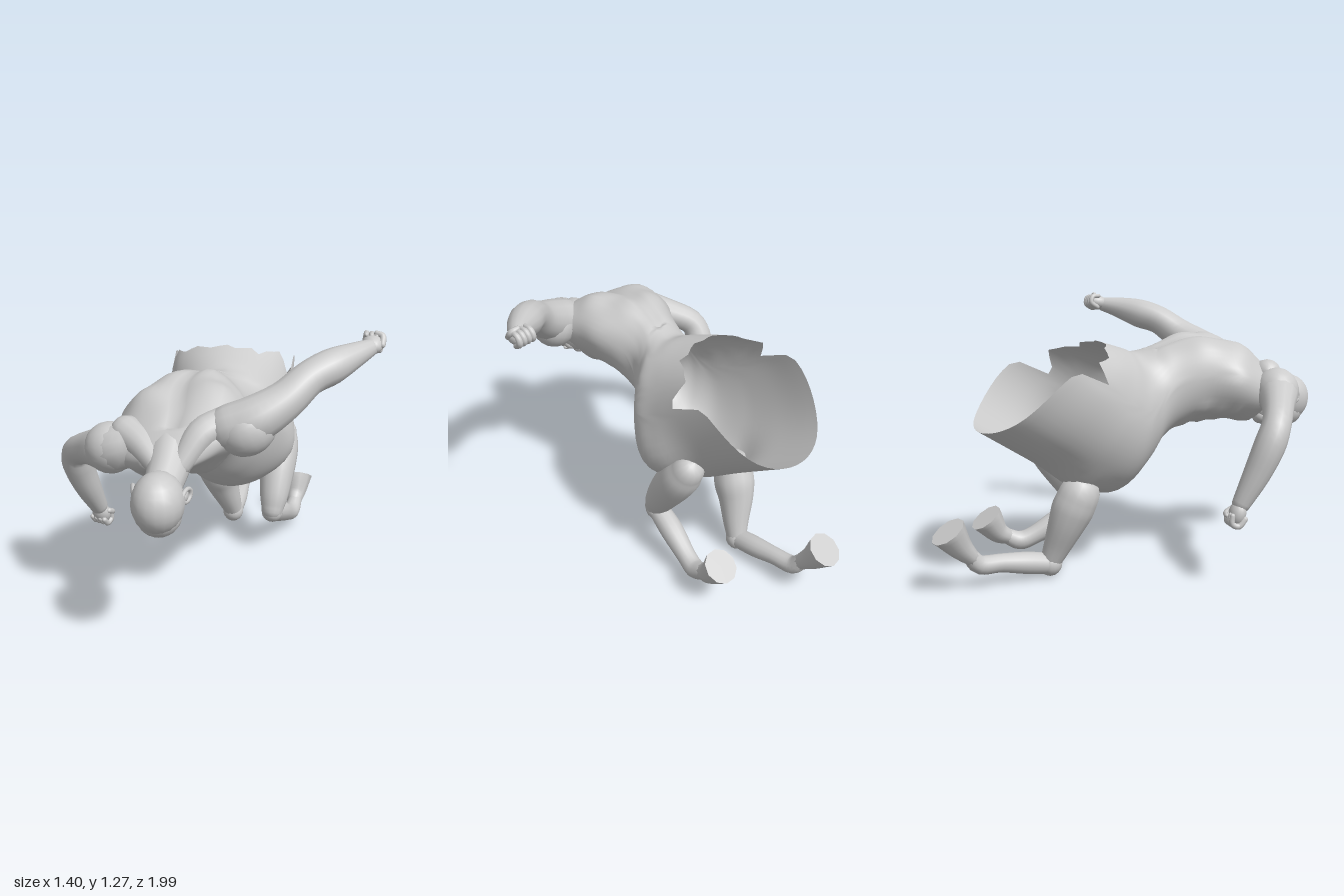
import * as THREE from 'three';

const grey = new THREE.MeshStandardMaterial({ color: 0xcccccc, side: THREE.DoubleSide });

function add(parent, name, geometry) {
  const mesh = new THREE.Mesh(geometry, grey);
  mesh.name = name;
  parent.add(mesh);
  return mesh;
}

// Skin a list of closed rings (arrays of Vector3)
function skin(rows) {
  const n = rows[0].length, pos = [], index = [];
  rows.forEach(row => row.forEach(p => pos.push(p.x, p.y, p.z)));
  for (let i = 0; i < rows.length - 1; i++) for (let j = 0; j < n; j++) {
    const a = i * n + j, b = i * n + (j + 1) % n;
    index.push(a, b, a + n, b, b + n, a + n);
  }
  const g = new THREE.BufferGeometry();
  g.setAttribute('position', new THREE.Float32BufferAttribute(pos, 3));
  g.setIndex(index);
  g.computeVertexNormals();
  return g;
}

const spline = pts => new THREE.CatmullRomCurve3(pts.map(p => new THREE.Vector3(...p)), false, 'catmullrom');

// Tapered limb through [x, y, z, radius] points: round ends, or a flat far end
function limb(parent, name, pts, sides = 14, flatEnd = false) {
  const path = spline(pts.map(p => p.slice(0, 3)));
  const size = spline(pts.map(p => [p[3], 0, 0]));
  const steps = (pts.length - 1) * 4, rows = [], dome = [0, 0.4, 0.8, 1.2];
  let normal = new THREE.Vector3(0.3, 1, 0.2);
  for (let i = 0; i <= steps; i++) {
    const t = i / steps, c = path.getPoint(t), r = size.getPoint(t).x;
    const tan = path.getTangent(t);
    normal = normal.clone().addScaledVector(tan, -normal.dot(tan)).normalize();
    const bin = tan.clone().cross(normal);
    const ring = (rad, shift = 0) => Array.from({ length: sides }, (_, j) => {
      const a = j / sides * Math.PI * 2;
      return c.clone().addScaledVector(tan, shift)
        .addScaledVector(normal, Math.cos(a) * rad).addScaledVector(bin, Math.sin(a) * rad);
    });
    if (i === 0) dome.forEach(a => rows.push(ring(r * Math.sin(a), -r * Math.cos(a))));
    rows.push(ring(r));
    if (i === steps && flatEnd) rows.push(ring(r), ring(0));
    else if (i === steps) [...dome].reverse().forEach(a => rows.push(ring(r * Math.sin(a), r * Math.cos(a))));
  }
  return add(parent, name, skin(rows));
}

// Ellipsoid muscle or head mass
function lobe(parent, name, pos, radii, rot = [0, 0, 0]) {
  const m = add(parent, name, new THREE.SphereGeometry(1, 18, 12));
  m.position.set(...pos);
  m.scale.set(...radii);
  m.rotation.set(...rot);
  return m;
}

// Torso and hollow hindquarters, rear to front:
// [zTop, yTop, zBottom, yBottom, centreX, halfWidth, roll]
const bodyKeys = [
  [-0.20, 1.07, -0.77, 0.70, -0.03, 0.305, 0],
  [-0.13, 1.05, -0.55, 0.56, -0.03, 0.305, 0],
  [-0.06, 1.03, -0.33, 0.42, -0.02, 0.295, 0],
  [0.00, 1.01, -0.14, 0.355, -0.01, 0.275, 0],
  [0.06, 1.02, 0.00, 0.46, -0.04, 0.21, 0],
  [0.13, 1.05, 0.10, 0.60, -0.07, 0.175, 0],
  [0.25, 1.08, 0.22, 0.67, -0.10, 0.205, 0.05],
  [0.37, 1.075, 0.36, 0.69, -0.13, 0.25, 0.12],
  [0.48, 1.045, 0.48, 0.70, -0.13, 0.275, 0.18],
  [0.57, 1.01, 0.57, 0.74, -0.12, 0.27, 0.20],
  [0.65, 0.95, 0.65, 0.77, -0.13, 0.21, 0.20],
  [0.71, 0.89, 0.71, 0.79, -0.13, 0.11, 0.10],
];

// Muscle swellings on the body: [x, y, z, radius, height]
const muscles = [[0.26, 0.58, -0.2, 0.14, 0.05], [-0.12, 0.43, -0.35, 0.1, 0.035]];
for (const s of [-1, 1]) {
  const muscle = (d, y, z, r, h) => muscles.push([-0.13 + s * d, y + s * d * 0.18, z, r, h]);
  muscle(0.14, 1.03, 0.46, 0.085, 0.035); // shoulder blade
  muscle(0.09, 1.06, 0.27, 0.08, 0.015); // back
  muscle(0.23, 0.92, 0.34, 0.1, 0.03); // flank
  muscle(0.12, 0.72, 0.52, 0.085, 0.035); // chest
  [0.69, 0.685, 0.66, 0.61].forEach((y, i) => muscle(0.045, y, 0.36 - i * 0.08, 0.033, 0.015)); // belly
  for (let i = 0; i < 3; i++) muscle(0.19 - i * 0.02, 0.78, 0.38 - i * 0.07, 0.03, 0.014); // ribs
}

// Torn rim: [ring index of 48, how far the edge is cut back]
const tears = [[0, 0], [1, 0.01], [2, 0.09], [3, 0.08], [5, 0], [7, 0.01], [8, 0.05], [9, 0.01], [11, 0.03],
  [12, 0], [14, 0.03], [16, 0], [18, 0.03], [20, 0.01], [22, 0.08], [23, 0.01], [24, 0], [48, 0]];
function tear(j) {
  const k = tears.findIndex(t => t[0] > j), [a, va] = tears[k - 1], [b, vb] = tears[k];
  return va + (vb - va) * (j - a) / (b - a);
}

function body(parent) {
  const top = spline(bodyKeys.map(k => [0, k[1], k[0]]));
  const bottom = spline(bodyKeys.map(k => [0, k[3], k[2]]));
  const width = spline(bodyKeys.map(k => k.slice(4)));
  const sides = 48, steps = 72, rows = [];
  for (let i = 0; i <= steps; i++) {
    rows.push(Array.from({ length: sides }, (_, j) => {
      const t0 = tear(j), t = t0 + (1 - t0) * i / steps, a = j / sides * Math.PI * 2;
      const hi = top.getPoint(t), lo = bottom.getPoint(t), w = width.getPoint(t);
      const p = lo.clone().lerp(hi, 0.5 + 0.5 * Math.sin(a));
      const dx = Math.cos(a) * w.y;
      p.x = w.x + dx;
      p.y += dx * w.z;
      // side points of the rim rise
      p.y += 0.065 * Math.cos(a) ** 6 * Math.max(0, 1 - t * 6);
      // spine groove along the back
      if (t > 0.4 && t < 0.9) p.y -= 0.025 * Math.exp(-Math.pow(dx / 0.035, 2)) * Math.max(0, Math.sin(a));
      const out = new THREE.Vector3(Math.cos(a), Math.sin(a), 0), base = p.clone();
      for (const [x, y, z, r, h] of muscles) {
        const d2 = base.distanceToSquared(new THREE.Vector3(x, y, z));
        p.addScaledVector(out, h * Math.exp(-d2 / (r * r)));
      }
      return p;
    }));
  }
  const mid = new THREE.Vector3(-0.13, 0.84, 0.73);
  rows.push(rows[steps].map(() => mid.clone()));
  add(parent, 'torsoAndHollowHindquarters', skin(rows));
}

// Clenched hand: palm, four curled fingers, thumb; knuckles point along dir
function fist(parent, name, pos, dir) {
  const g = new THREE.Group();
  g.name = name;
  lobe(g, 'palm', [0, -0.005, 0], [0.046, 0.058, 0.038]);
  for (let i = 0; i < 4; i++) {
    const x = -0.034 + i * 0.022;
    limb(g, 'finger', [[x, 0.01, -0.028, 0.013], [x, 0.046, -0.01, 0.014], [x, 0.042, 0.024, 0.013], [x, 0.008, 0.032, 0.011]], 8);
  }
  limb(g, 'thumb', [[0.04, -0.02, 0.01, 0.014], [0.036, 0.008, 0.036, 0.014], [0.008, 0.016, 0.043, 0.011]], 8);
  g.position.set(...pos);
  g.quaternion.setFromUnitVectors(new THREE.Vector3(0, 1, 0), new THREE.Vector3(...dir).normalize());
  parent.add(g);
}

// Head hangs with the crown forward and the face down
function head(parent) {
  const g = new THREE.Group();
  g.name = 'head';
  lobe(g, 'skull', [0, 0.01, 0.005], [0.105, 0.122, 0.125]);
  lobe(g, 'forehead', [0, -0.05, -0.01], [0.09, 0.085, 0.1]);
  lobe(g, 'face', [0, -0.03, -0.095], [0.08, 0.09, 0.11]);
  lobe(g, 'chin', [0, -0.07, -0.165], [0.045, 0.04, 0.04]);
  lobe(g, 'brow', [0, -0.115, -0.055], [0.06, 0.02, 0.022]);
  lobe(g, 'nose', [0, -0.122, -0.098], [0.017, 0.024, 0.036], [0.25, 0, 0]);
  lobe(g, 'mouth', [0, -0.1, -0.145], [0.034, 0.018, 0.018]);
  for (const s of [-1, 1]) {
    lobe(g, 'cheek', [s * 0.045, -0.08, -0.095], [0.03, 0.026, 0.036]);
    const ear = add(g, 'ear', new THREE.TorusGeometry(0.026, 0.009, 8, 16));
    ear.position.set(s * 0.105, 0.03, -0.03);
    ear.rotation.set(0, Math.PI / 2 - s * 0.3, 0);
    ear.scale.set(1.3, 1, 1);
    lobe(g, 'innerEar', [s * 0.1, 0.03, -0.03], [0.012, 0.024, 0.03]);
  }
  g.position.set(-0.135, 0.73, 0.87);
  parent.add(g);
}

export function createModel() {
  const model = new THREE.Group();
  model.name = 'crouchingFaun';
  body(model);
  head(model);
  limb(model, 'neck', [[-0.135, 0.765, 0.81, 0.075], [-0.13, 0.805, 0.72, 0.085], [-0.13, 0.85, 0.62, 0.1]]);
  for (const s of [-1, 1])
    limb(model, 'trapezius', [[-0.13 + s * 0.05, 0.83, 0.71, 0.045], [-0.13 + s * 0.12, 0.9 + s * 0.03, 0.63, 0.065],
      [-0.13 + s * 0.2, 0.93 + s * 0.03, 0.57, 0.07]]);

  // Arms: left swept up and back, right hanging bent
  limb(model, 'leftArm', [[0.1, 0.95, 0.58, 0.095], [0.2, 0.985, 0.565, 0.098], [0.31, 1.05, 0.515, 0.083],
    [0.4, 1.125, 0.445, 0.073], [0.49, 1.16, 0.375, 0.074], [0.58, 1.19, 0.3, 0.053], [0.635, 1.205, 0.245, 0.038]]);
  lobe(model, 'leftDeltoid', [0.17, 0.945, 0.575], [0.125, 0.11, 0.105], [0, 0.5, 0.45]);
  lobe(model, 'leftBiceps', [0.31, 1.03, 0.52], [0.09, 0.055, 0.06], [0, 0.6, 0.5]);
  fist(model, 'leftFist', [0.65, 1.215, 0.208], [0.1, 0.15, -1]);

  limb(model, 'rightArm', [[-0.3, 0.86, 0.58, 0.09], [-0.4, 0.825, 0.57, 0.1], [-0.52, 0.78, 0.475, 0.075],
    [-0.615, 0.72, 0.385, 0.065], [-0.63, 0.63, 0.335, 0.07], [-0.61, 0.5, 0.28, 0.06], [-0.585, 0.375, 0.22, 0.042]]);
  lobe(model, 'rightDeltoid', [-0.405, 0.825, 0.565], [0.115, 0.11, 0.105], [0, -0.5, 0.3]);
  lobe(model, 'rightBiceps', [-0.5, 0.775, 0.505], [0.085, 0.055, 0.06], [0, -0.6, 0.35]);
  fist(model, 'rightFist', [-0.58, 0.325, 0.2], [0.05, -1, -0.3]);

  // Legs: thigh, folded shin, narrow pastern, flaring hoof
  limb(model, 'leftThigh', [[0.232, 0.58, -0.35, 0.075], [0.23, 0.52, -0.31, 0.09], [0.222, 0.43, -0.245, 0.09],
    [0.215, 0.31, -0.17, 0.073], [0.21, 0.24, -0.135, 0.055]]);
  lobe(model, 'leftKnee', [0.21, 0.225, -0.14], [0.055, 0.055, 0.055]);
  limb(model, 'leftShin', [[0.21, 0.22, -0.15, 0.05], [0.235, 0.17, -0.26, 0.055], [0.265, 0.105, -0.38, 0.045],
    [0.285, 0.085, -0.45, 0.045], [0.3, 0.12, -0.52, 0.036]]);
  limb(model, 'leftHoof', [[0.295, 0.11, -0.505, 0.038], [0.3, 0.145, -0.56, 0.055], [0.302, 0.22, -0.615, 0.08]], 10, true);

  limb(model, 'rightThigh', [[-0.115, 0.385, -0.335, 0.095], [-0.1, 0.32, -0.36, 0.098], [-0.085, 0.25, -0.385, 0.085],
    [-0.055, 0.15, -0.415, 0.065], [-0.035, 0.075, -0.44, 0.05]]);
  lobe(model, 'rightKnee', [-0.035, 0.06, -0.445], [0.055, 0.058, 0.055]);
  limb(model, 'rightShin', [[-0.035, 0.06, -0.45, 0.048], [-0.025, 0.08, -0.56, 0.05], [-0.02, 0.1, -0.68, 0.042],
    [-0.02, 0.11, -0.78, 0.042], [-0.025, 0.165, -0.83, 0.034]]);
  limb(model, 'rightHoof', [[-0.025, 0.155, -0.825, 0.038], [-0.03, 0.21, -0.875, 0.055], [-0.035, 0.288, -0.928, 0.08]], 10, true);
  return model;
}
